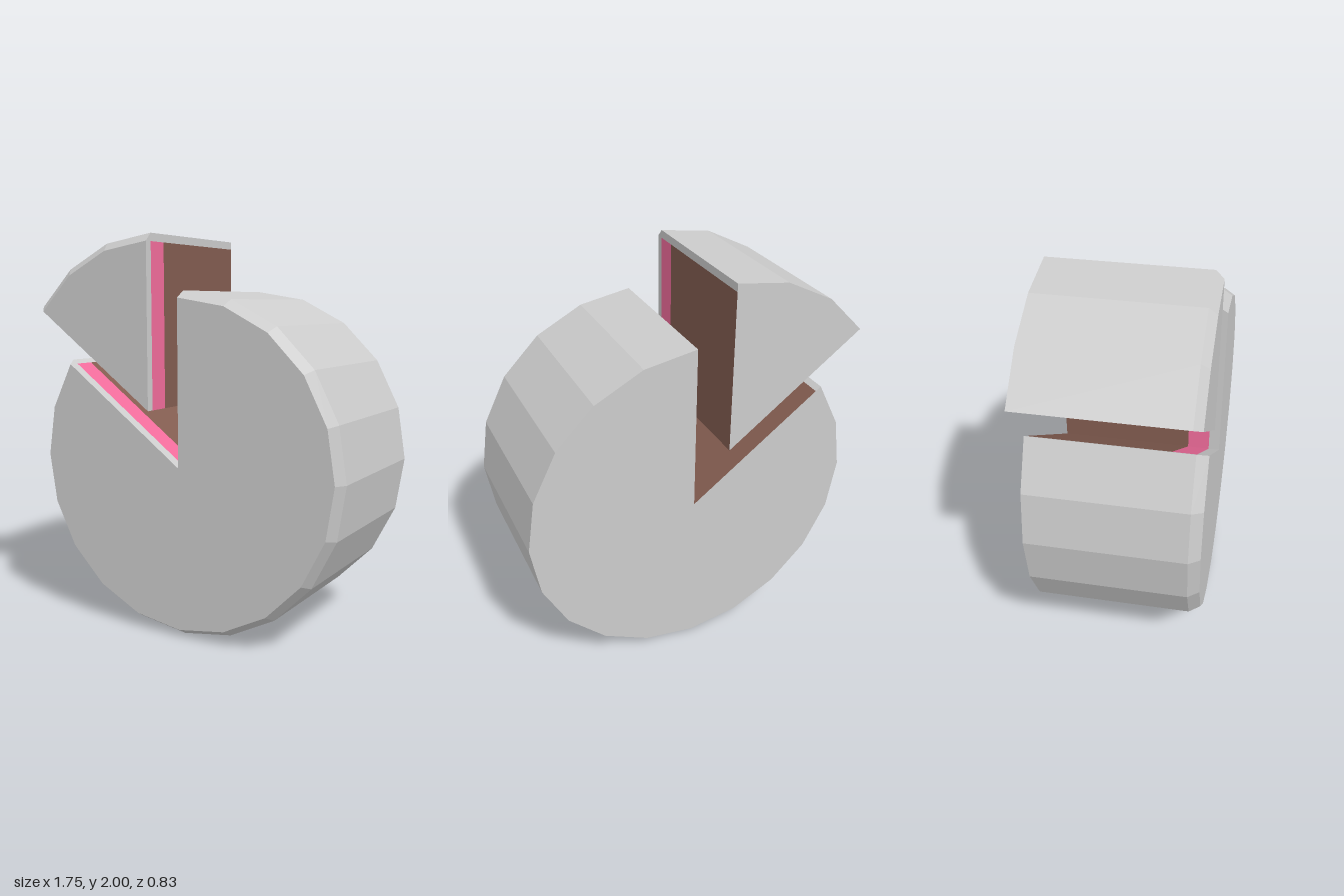
import * as THREE from 'three';

const STEP = Math.PI / 10; // the whole wheel has 20 sides
const BACK = -0.415, LAYER = 0.25, ICING = 0.36;

const paint = (color) => new THREE.MeshStandardMaterial({ color, flatShading: true, side: THREE.DoubleSide });
const icingMat = paint(0xcccccc);
const creamMat = paint(0xf06c9b);
const spongeMat = paint(0x825c50);

// A wedge of cake, its axis along z, from angle start over a number of sides
function wedge(name, start, sides, R, rIn, front) {
  const group = new THREE.Group();
  group.name = name;
  const add = (part, geometry, material) => {
    const mesh = new THREE.Mesh(geometry, material);
    mesh.name = part;
    group.add(mesh);
  };

  // Back, rim, bevel and front of the icing
  const profile = [[0, BACK], [R, BACK], [R, ICING], [rIn, front], [0, front]]
    .map(([r, z]) => new THREE.Vector2(r, z));
  const skin = new THREE.LatheGeometry(profile, sides, start + Math.PI / 2, sides * STEP);
  add('icing', skin.rotateX(Math.PI / 2), icingMat);

  // Layers seen on the two cut faces, as (radius, z) outlines
  const layers = [
    ['icingCut', icingMat, [[0, ICING], [rIn, ICING], [rIn, BACK], [R, BACK], [R, ICING], [rIn, front], [0, front]]],
    ['creamCut', creamMat, [[0, LAYER], [rIn, LAYER], [rIn, ICING], [0, ICING]]],
    ['spongeCut', spongeMat, [[0, BACK], [rIn, BACK], [rIn, LAYER], [0, LAYER]]],
  ];
  for (const angle of [start, start + sides * STEP]) {
    for (const [part, material, outline] of layers) {
      const shape = new THREE.Shape(outline.map(([r, z]) => new THREE.Vector2(r, z)));
      add(part, new THREE.ShapeGeometry(shape).rotateX(Math.PI / 2).rotateZ(angle), material);
    }
  }
  return group;
}

export function createModel() {
  const model = new THREE.Group();
  model.name = 'cutCake';

  // Cake with three of its sides cut out
  const cake = wedge('cake', 8 * STEP, 17, 0.86, 0.826, 0.415);
  cake.position.set(0.015, 0.862, 0);

  // Slice pulled out up and to the side
  const slice = wedge('slice', 5 * STEP, 3, 0.87, 0.83, 0.4);
  slice.position.set(-0.173, 1.13, 0);

  model.add(cake, slice);
  return model;
}
